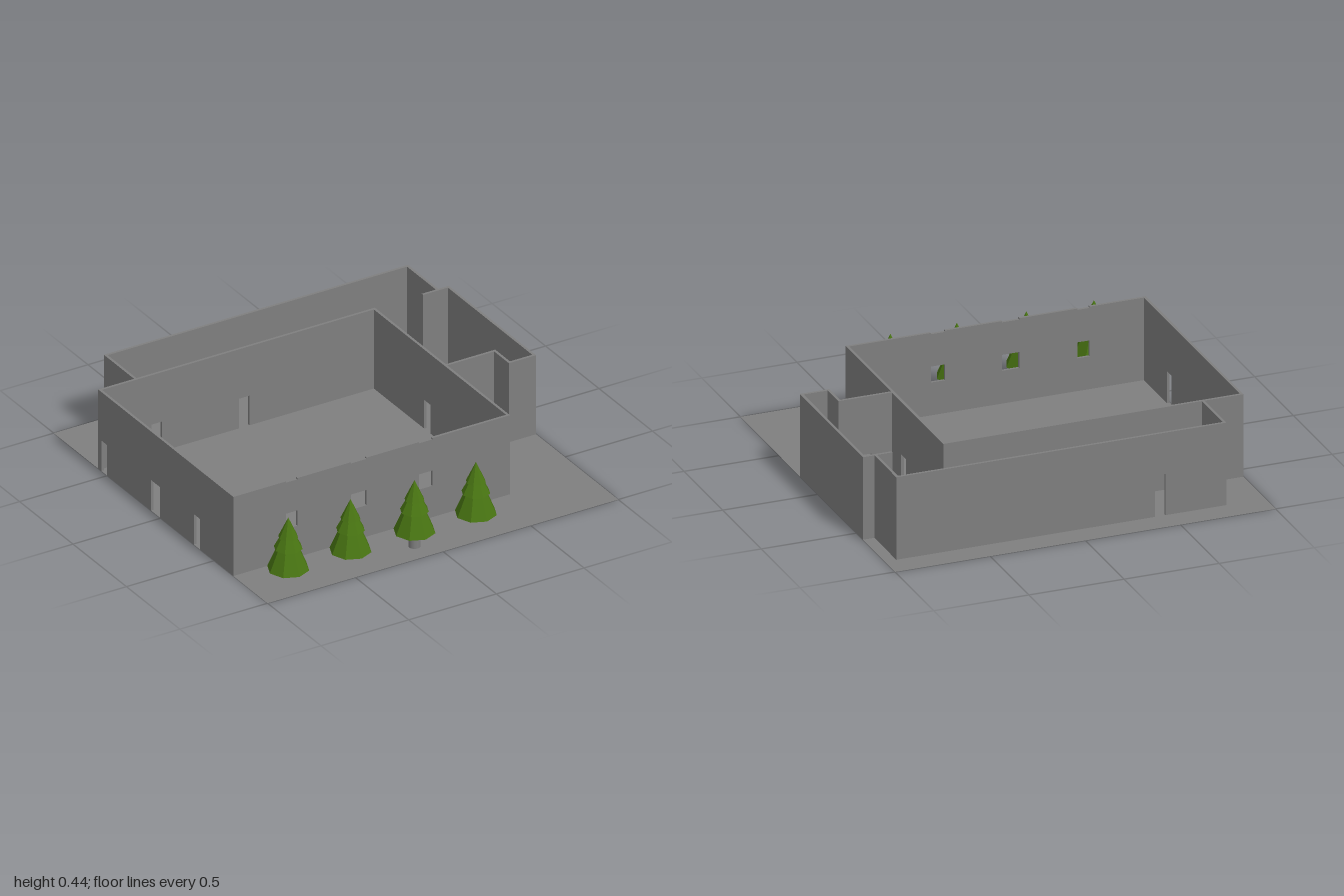
import * as THREE from 'three';

const H = 0.44; // wall height
const T = 0.014; // wall thickness

export function createModel() {
  const model = new THREE.Group();
  const grey = new THREE.MeshStandardMaterial({ color: 0x7f7f7f });
  grey.name = 'grey plaster';
  const groundGrey = grey.clone();
  groundGrey.name = 'grey ground';
  groundGrey.side = THREE.DoubleSide;
  const green = new THREE.MeshStandardMaterial({ color: 0x487412, flatShading: true });
  green.name = 'pine green';

  const add = (parent, name, geometry, material) => {
    const mesh = new THREE.Mesh(geometry, material);
    mesh.name = name;
    parent.add(mesh);
    return mesh;
  };

  // Ground sheet
  add(model, 'ground', new THREE.PlaneGeometry(2, 2).rotateX(-Math.PI / 2), groundGrey);

  // Wall along 'x' or 'z' from a to b; `at` is its lower edge on the other axis.
  // doors: [from, to, height]; windows: [from, to, bottom, top], with a shallow dip above.
  function wall(name, axis, a, b, at, doors = [], windows = []) {
    const shape = new THREE.Shape();
    shape.moveTo(a, 0);
    for (const [p, q, h] of doors) {
      shape.lineTo(p, 0);
      shape.lineTo(p, h);
      shape.lineTo(q, h);
      shape.lineTo(q, 0);
    }
    shape.lineTo(b, 0);
    shape.lineTo(b, H);
    for (const [p, q] of [...windows].reverse()) {
      shape.lineTo(q, H);
      shape.lineTo(q, H - 0.007);
      shape.lineTo(p, H - 0.007);
      shape.lineTo(p, H);
    }
    shape.lineTo(a, H);
    shape.closePath();
    for (const [p, q, low, high] of windows) {
      const hole = new THREE.Path();
      hole.moveTo(p, low);
      hole.lineTo(p, high);
      hole.lineTo(q, high);
      hole.lineTo(q, low);
      hole.closePath();
      shape.holes.push(hole);
    }
    const geometry = new THREE.ExtrudeGeometry(shape, { depth: T, bevelEnabled: false });
    if (axis === 'x') geometry.translate(0, 0, at);
    else geometry.rotateY(-Math.PI / 2).translate(at + T, 0, 0);
    add(model, name, geometry, grey);
  }

  // Main hall
  wall('hallFrontWall', 'x', -1, 0.578, 0.68 - T, [], [
    [-0.7, -0.635, 0.175, 0.26],
    [-0.33, -0.24, 0.175, 0.26],
    [0.06, 0.135, 0.175, 0.26],
  ]);
  wall('hallBackWall', 'x', -1, 0.578, -0.585, [[-0.705, -0.645, 0.165], [-0.205, -0.145, 0.165]]);
  wall('hallRightWall', 'z', -0.585 + T, 0.68 - T, -1,
    [[-0.555, -0.5, 0.17], [-0.09, -0.005, 0.17], [0.31, 0.37, 0.17]]);
  wall('hallLeftWall', 'z', -0.585 + T, 0.68 - T, 0.578 - T, [[-0.1, -0.04, 0.16]]);

  // Back room
  wall('backRoomBackWall', 'x', -0.795, 0.94, -0.868, [[-0.475, -0.42, 0.22]]);
  wall('backRoomRightWall', 'z', -0.868 + T, -0.585, -0.795);
  wall('backRoomLeftWall', 'z', -0.868 + T, -0.585, 0.94 - T);

  // Side wing
  wall('wingBackWall', 'x', 0.845, 1, -0.585);
  wall('wingOuterWall', 'z', -0.585 + T, 0.232 - T, 1 - T);
  wall('wingFrontWall', 'x', 0.845, 1, 0.232 - T);
  wall('wingInnerWall', 'z', 0.08, 0.232 - T, 0.845);
  wall('wingEntranceWall', 'x', 0.578, 0.845, 0.08, [[0.685, 0.75, 0.132]]);

  // Row of pines: [bottom y, top y, bottom radius, top radius] for each tier
  const tiers = [
    [0.085, 0.215, 0.105, 0.05],
    [0.2, 0.28, 0.072, 0.03],
    [0.26, 0.367, 0.05, 0],
  ];
  [-0.81, -0.455, -0.09, 0.26].forEach((x, i) => {
    const tree = new THREE.Group();
    tree.name = `tree${i + 1}`;
    tree.position.set(x, 0, 0.882);
    for (const [low, high, rLow, rHigh] of tiers) {
      const tier = new THREE.CylinderGeometry(rHigh, rLow, high - low, 8);
      add(tree, 'foliage', tier.translate(0, (low + high) / 2, 0), green);
    }
    // Only one tree has a trunk
    if (i === 2) {
      add(tree, 'trunk', new THREE.CylinderGeometry(0.03, 0.03, 0.09, 12).translate(0, 0.045, 0), grey);
    }
    model.add(tree);
  });

  return model;
}
